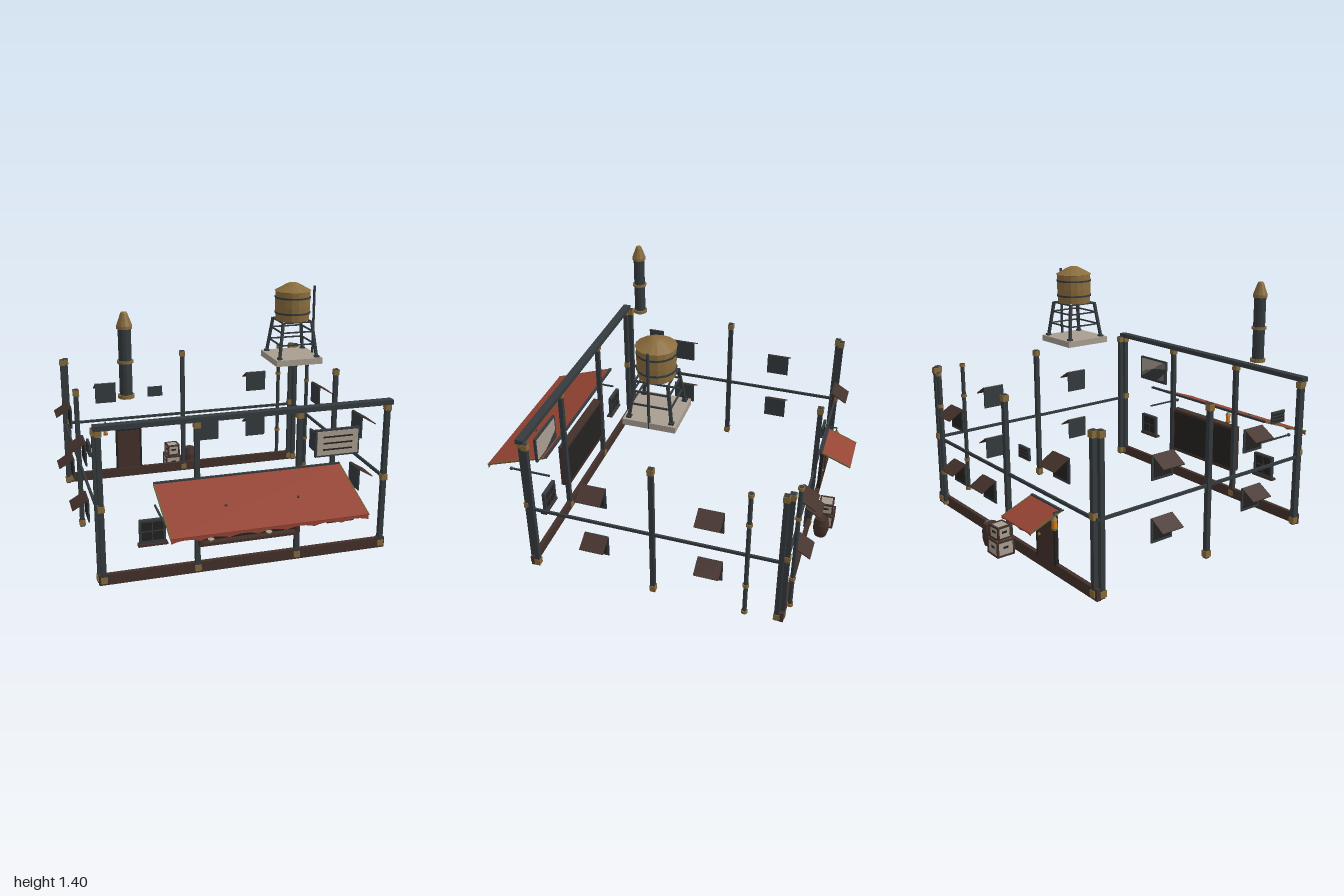
import * as THREE from 'three';

const mat = (color, flat = true) => new THREE.MeshStandardMaterial({ color, flatShading: flat, side: THREE.DoubleSide });
const M = {
  iron: mat(0x343a3d), brass: mat(0x86693a), wood: mat(0x43302a), dark: mat(0x242220), red: mat(0x954434),
  stone: mat(0xa89d90), tank: mat(0x8a6c3c), glow: mat(0xd9801f), trim: mat(0x6e5f35),
};

export function createModel() {
  const root = new THREE.Group();
  root.name = 'saloonFacade';

  const add = (parent, name, geo, m, x = 0, y = 0, z = 0) => {
    const mesh = new THREE.Mesh(geo, m);
    mesh.name = name;
    mesh.position.set(x, y, z);
    parent.add(mesh);
    return mesh;
  };
  const box = (p, name, m, w, h, d, x, y, z) => add(p, name, new THREE.BoxGeometry(w, h, d), m, x, y, z);
  const cyl = (p, name, m, r0, r1, h, x, y, z, n = 10) => add(p, name, new THREE.CylinderGeometry(r1, r0, h, n), m, x, y, z);
  const lathe = (p, name, m, pts, x, y, z, n = 16) =>
    add(p, name, new THREE.LatheGeometry(pts.map(a => new THREE.Vector2(...a)), n), m, x, y, z);
  const group = (name, x = 0, y = 0, z = 0, ry = 0, parent = root) => {
    const g = new THREE.Group();
    g.name = name;
    g.position.set(x, y, z);
    g.rotation.y = ry;
    parent.add(g);
    return g;
  };
  // square bar between two points
  const bar = (p, name, m, a, b, t) => {
    const A = new THREE.Vector3(...a), B = new THREE.Vector3(...b);
    const mesh = add(p, name, new THREE.BoxGeometry(t, A.distanceTo(B), t), m);
    mesh.position.copy(A).lerp(B, 0.5);
    mesh.quaternion.setFromUnitVectors(new THREE.Vector3(0, 1, 0), B.sub(A).normalize());
    return mesh;
  };

  // Posts with brass collars
  const post = (x, z, collars = [0.03, 0.825]) => {
    const g = group('post', x, 0, z);
    box(g, 'postShaft', M.iron, 0.026, 0.84, 0.026, 0, 0.425, 0);
    for (const y of collars) box(g, 'postCollar', M.brass, 0.034, 0.034, 0.034, 0, y, 0);
  };
  const three = [0.03, 0.425, 0.825];
  for (const s of [-1, 1]) {
    post(s * 0.775, 0.61, three);
    post(s * 0.277, 0.61);
    post(s * 0.767, -0.815, three);
    for (const z of [-0.79, -0.105, 0.58]) post(s * 0.79, z);
    box(root, 'sideRail', M.iron, 0.012, 0.016, 1.42, s * 0.79, 0.41, -0.105);
  }
  post(0, -0.815);

  // Sills, back rail and cornice
  box(root, 'frontSill', M.wood, 1.6, 0.06, 0.022, 0, 0.03, 0.608);
  box(root, 'backSill', M.wood, 1.6, 0.06, 0.022, 0, 0.03, -0.815);
  box(root, 'backRail', M.iron, 1.56, 0.016, 0.012, 0, 0.41, -0.815);
  box(root, 'cornice', M.iron, 1.6, 0.026, 0.045, 0, 0.853, 0.607);

  // Drain pipes
  for (const [x, z] of [[0.688, -0.84], [0.81, -0.62]]) {
    const g = group('drainPipe', x, 0, z);
    cyl(g, 'pipe', M.iron, 0.012, 0.012, 0.81, 0, 0.425, 0);
    for (const y of [0.03, 0.22, 0.63, 0.82]) cyl(g, 'pipeRing', M.brass, 0.017, 0.017, 0.018, 0, y, 0);
  }

  // Shuttered windows: outward is local +z
  const awningWindow = (x, y, z, ry) => {
    const g = group('awningWindow', x, y, z, ry);
    box(g, 'windowPanel', M.iron, 0.135, 0.13, 0.008, 0, 0, 0);
    box(g, 'windowGlass', M.dark, 0.11, 0.1, 0.01, 0, 0, 0.002);
    const flap = box(g, 'windowAwning', M.wood, 0.135, 0.006, 0.1, 0, 0.04, 0.045);
    flap.rotation.x = 0.54;
  };
  for (const y of [0.265, 0.592]) {
    for (const z of [-0.423, 0.208]) {
      awningWindow(0.795, y, z, Math.PI / 2);
      awningWindow(-0.795, y, z, -Math.PI / 2);
    }
  }
  for (const [x, y] of [[-0.518, 0.592], [0.518, 0.592], [0.518, 0.265], [0.185, 0.265]]) awningWindow(x, y, -0.82, Math.PI);

  // Wall vents
  const vent = (x, y, z, ry) => {
    const g = group('vent', x, y, z, ry);
    box(g, 'ventPlate', M.iron, 0.097, 0.066, 0.012, 0, 0, 0);
    for (let i = -1; i < 2; i++) box(g, 'ventSlat', M.dark, 0.08, 0.008, 0.006, 0, i * 0.018, 0.006);
  };
  vent(-0.188, 0.578, -0.82, Math.PI);
  vent(-0.795, 0.678, 0.4, -Math.PI / 2);

  // Front sash windows
  for (const s of [-1, 1]) {
    const g = group('sashWindow', s * 0.518, 0.275, 0.617);
    box(g, 'sashGlass', M.dark, 0.13, 0.125, 0.008, 0, 0, 0);
    for (const k of [-1, 1]) {
      box(g, 'sashSide', M.iron, 0.012, 0.13, 0.02, k * 0.063, 0, 0);
      box(g, 'sashRail', M.iron, 0.138, 0.012, 0.02, 0, k * 0.059, 0);
    }
    box(g, 'muntinUpright', M.iron, 0.005, 0.12, 0.014, 0, 0, 0);
    box(g, 'muntinCross', M.iron, 0.12, 0.005, 0.014, 0, 0, 0);
    box(g, 'windowSill', M.wood, 0.155, 0.012, 0.035, 0, -0.07, 0.005);
  }

  // Serving hatch
  const hatch = group('servingHatch', 0, 0.305, 0.63);
  box(hatch, 'hatchBack', M.dark, 0.55, 0.27, 0.01, 0, 0, -0.018);
  for (const k of [-1, 1]) {
    box(hatch, 'hatchJamb', M.wood, 0.018, 0.28, 0.05, k * 0.267, 0, 0);
    box(hatch, 'hatchRail', M.wood, 0.55, 0.016, 0.05, 0, k * 0.132, 0);
  }
  for (const y of [-0.035, 0.035]) box(hatch, 'hatchShelf', M.wood, 0.5, 0.007, 0.02, 0, y, -0.008);
  for (const x of [-0.19, -0.06, 0.085, 0.2]) {
    cyl(hatch, 'bottle', M.brass, 0.009, 0.006, 0.025, x, -0.019, -0.006, 8);
    cyl(hatch, 'bottle', M.brass, 0.007, 0.005, 0.022, x + 0.02, 0.049, -0.006, 8);
  }
  for (const x of [-0.21, 0.11]) cyl(hatch, 'bowl', M.stone, 0.008, 0.018, 0.012, x, -0.117, 0.004, 10);

  // Sloping canopy with a scalloped hem
  const canopy = (name, x, w, z0, y0, z1, y1, scallops, drop) => {
    const g = group(name, x), dir = Math.sign(z1 - z0);
    const len = Math.hypot(z1 - z0, y1 - y0), tilt = Math.atan2(y0 - y1, z1 - z0);
    const slope = group('canopySlope', 0, (y0 + y1) / 2, (z0 + z1) / 2, 0, g);
    slope.rotation.x = dir > 0 ? tilt : -Math.atan2(y0 - y1, z0 - z1);
    box(slope, 'canopyCloth', M.red, w, 0.006, len, 0, 0, 0);
    for (const s of [-1, 1]) box(slope, 'canopyEdge', M.trim, 0.006, 0.009, len, s * w / 2, 0, 0);
    const shape = new THREE.Shape();
    shape.moveTo(-w / 2, 0).lineTo(-w / 2, -drop);
    for (let i = 0; i < scallops; i++) {
      const a = -w / 2 + i * w / scallops, b = a + w / scallops;
      shape.quadraticCurveTo((a + b) / 2, -drop * 0.1, b, -drop);
    }
    shape.lineTo(w / 2, 0);
    add(g, 'canopyHem', new THREE.ExtrudeGeometry(shape, { depth: 0.004, bevelEnabled: false, curveSegments: 6 }),
      M.red, 0, y1 + 0.003, z1 - (dir > 0 ? 0.004 : 0));
    box(g, 'canopyHeader', M.iron, w, 0.012, 0.014, 0, y0 + 0.002, z0);
    return slope;
  };
  const front = canopy('frontCanopy', -0.003, 1.01, 0.625, 0.535, 1, 0.405, 7, 0.028);
  for (const x of [-0.187, 0.193]) cyl(front, 'canopyStud', M.iron, 0.007, 0.007, 0.01, x, 0.004, 0.02, 8);
  canopy('backCanopy', -0.375, 0.262, -0.82, 0.365, -1, 0.295, 3, 0.014);

  // Canopy support arms
  for (const x of [-0.5, 0.5]) {
    bar(root, 'supportArm', M.iron, [x, 0.41, 0.61], [x, 0.41, 0.85], 0.009);
    add(root, 'armKnob', new THREE.SphereGeometry(0.011, 8, 6), M.iron, x, 0.41, 0.85);
  }

  // Lanterns
  const lantern = (x, y, z) => {
    const g = group('lantern', x, y, z);
    cyl(g, 'lanternBase', M.brass, 0.016, 0.016, 0.01, 0, 0.005, 0, 8);
    cyl(g, 'lanternGlass', M.glow, 0.014, 0.014, 0.042, 0, 0.03, 0, 8);
    cyl(g, 'lanternCap', M.brass, 0.019, 0.006, 0.018, 0, 0.06, 0, 8);
    cyl(g, 'lanternHook', M.iron, 0.003, 0.003, 0.025, 0, 0.078, 0, 6);
  };
  lantern(0, 0.368, 0.84);
  lantern(-0.52, 0.285, -0.87);
  bar(root, 'lanternArm', M.iron, [-0.52, 0.372, -0.815], [-0.52, 0.372, -0.875], 0.007);

  // Notice board
  const board = group('noticeBoard', 0.485, 0.66, 0.622);
  box(board, 'boardFrame', M.iron, 0.25, 0.152, 0.014, 0, 0, 0);
  box(board, 'boardFace', M.stone, 0.23, 0.132, 0.018, 0, 0, 0.002);
  for (const y of [-0.035, 0, 0.035]) box(board, 'boardSlat', M.dark, 0.165, 0.008, 0.006, 0, y, 0.011);

  // Back door
  const door = group('backDoor', -0.375, 0, -0.82);
  box(door, 'doorLeaf', M.wood, 0.16, 0.27, 0.012, 0, 0.185, 0);
  for (const s of [-1, 1]) box(door, 'doorJamb', M.dark, 0.012, 0.285, 0.02, s * 0.08, 0.193, 0);
  box(door, 'doorHead', M.dark, 0.172, 0.014, 0.02, 0, 0.33, 0);
  add(door, 'doorKnob', new THREE.SphereGeometry(0.008, 8, 6), M.brass, 0.055, 0.18, -0.012);

  // Crates and barrel by the back wall
  const crate = (w, h, x, y, z, ry) => {
    const g = group('crate', x, y, z, ry);
    box(g, 'crateBody', M.stone, w - 0.008, h - 0.006, w - 0.008, 0, h / 2, 0);
    for (const s of [-1, 1]) for (const k of [-1, 1]) {
      const e = w / 2 - 0.005;
      box(g, 'crateUpright', M.wood, 0.01, h, 0.01, s * e, h / 2, k * e);
      box(g, 'crateBatten', M.wood, w, 0.01, 0.01, 0, h / 2 + s * (h / 2 - 0.005), k * e);
      box(g, 'crateBatten', M.wood, 0.01, 0.01, w, k * e, h / 2 + s * (h / 2 - 0.005), 0);
    }
    for (const ry of [0, Math.PI / 2]) box(g, 'crateSlot', M.dark, 0.03, 0.012, w - 0.004, 0, h * 0.55, 0).rotation.y = ry;
  };
  crate(0.105, 0.09, -0.06, 0, -0.905, 0);
  crate(0.085, 0.075, -0.058, 0.09, -0.905, 0.06);
  lathe(root, 'barrel', M.wood, [[0, 0], [0.036, 0], [0.045, 0.04], [0.045, 0.085], [0.036, 0.125], [0.032, 0.12], [0, 0.12]], 0.06, 0.005, -0.897, 14);
  for (const y of [0.02, 0.045, 0.09, 0.115]) {
    const r = 0.047 - 4 * (y - 0.067) ** 2;
    cyl(root, 'barrelHoop', M.brass, r - 0.002, r - 0.002, 0.008, 0.06, y, -0.897, 14);
  }

  // Chimney stack
  const stack = group('chimney', -0.598, 0.943, 0.44);
  cyl(stack, 'chimneyPipe', M.iron, 0.033, 0.033, 0.36, 0, 0.185, 0, 12);
  for (const y of [0.009, 0.188]) cyl(stack, 'chimneyRing', M.brass, 0.042, 0.042, y < 0.1 ? 0.018 : 0.013, 0, y, 0, 12);
  lathe(stack, 'chimneyCap', M.brass, [[0, 0.355], [0.04, 0.355], [0.04, 0.37], [0.018, 0.43], [0.014, 0.437], [0, 0.437]], 0, 0, 0, 12);

  // Water tower
  const tower = group('waterTower', 0.467, 0.945, -0.033);
  box(tower, 'towerSlab', M.stone, 0.28, 0.035, 0.28, 0, 0.0175, 0);
  const spread = y => 0.113 - (y - 0.035) * 0.13;
  for (let i = 0; i < 4; i++) {
    const side = group('towerSide', 0, 0, 0, i * Math.PI / 2, tower);
    const a = spread(0.035), b = spread(0.24);
    bar(side, 'towerLeg', M.iron, [a, 0.035, a], [b, 0.24, b], 0.015);
    box(side, 'legFoot', M.iron, 0.026, 0.01, 0.026, a, 0.04, a);
    for (const y of [0.112, 0.183, 0.238]) {
      const s = spread(y);
      bar(side, 'towerBrace', M.iron, [-s, y, s], [s, y, s], 0.008);
    }
  }
  lathe(tower, 'tank', M.tank, [[0, 0.24], [0.096, 0.24], [0.101, 0.32], [0.1, 0.408], [0.106, 0.41], [0.035, 0.449], [0.018, 0.455], [0, 0.455]], 0, 0, 0);
  for (const y of [0.285, 0.373]) cyl(tower, 'tankHoop', M.iron, 0.104, 0.104, 0.01, 0, y, 0, 16);
  cyl(tower, 'fillPipe', M.iron, 0.008, 0.008, 0.43, 0.133, 0.215, 0, 8);

  return root;
}
